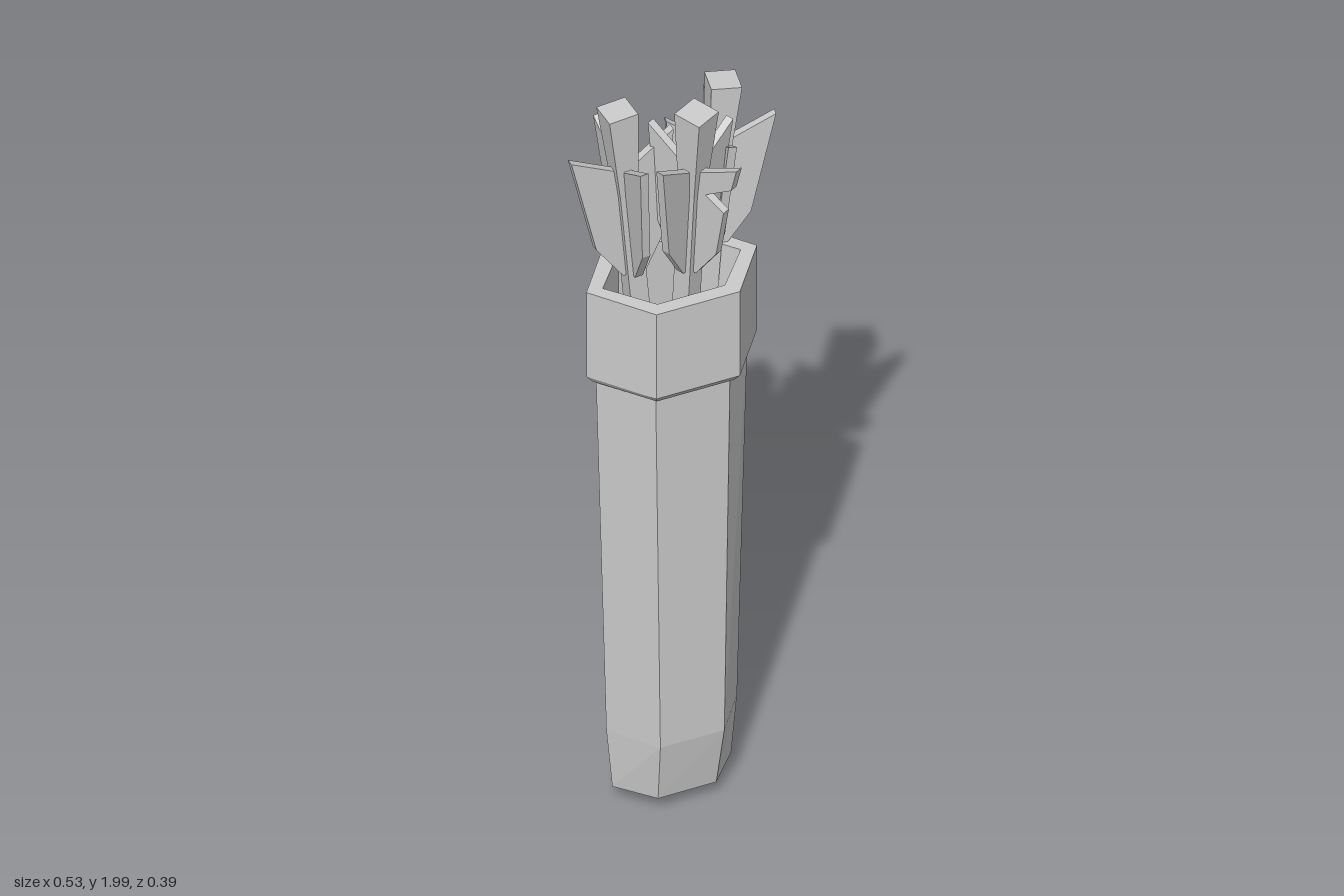
import * as THREE from 'three';

const material = new THREE.MeshStandardMaterial({ color: 0xcccccc, flatShading: true, side: THREE.DoubleSide });

// Uneven hexagon of the quiver mouth, as [x, z] offsets from its centre
const CENTER = [-0.01, -0.014];
const HEX = [[-0.097, -0.151], [0.12, -0.136], [0.217, 0.014], [0.097, 0.151], [-0.115, 0.137], [-0.215, -0.016]];

function addMesh(parent, name, geometry) {
  const mesh = new THREE.Mesh(geometry, material);
  mesh.name = name;
  parent.add(mesh);
  return mesh;
}

// Skins a chain of hexagon rings, each given as [y, scaleX, scaleZ]; scale 0 is a point
function hexLoft(rings) {
  const positions = [];
  const corner = ([y, sx, sz], i) => {
    const [x, z] = HEX[i % 6];
    return [CENTER[0] + x * sx, y, CENTER[1] + z * sz];
  };
  for (let r = 0; r < rings.length - 1; r++) {
    const low = rings[r], high = rings[r + 1];
    for (let i = 0; i < 6; i++) {
      const a = corner(low, i), b = corner(low, i + 1);
      const c = corner(high, i), d = corner(high, i + 1);
      if (low[1] > 0) positions.push(...a, ...c, ...b);
      if (high[1] > 0) positions.push(...b, ...c, ...d);
    }
  }
  const geometry = new THREE.BufferGeometry();
  geometry.setAttribute('position', new THREE.Float32BufferAttribute(positions, 3));
  geometry.computeVertexNormals();
  return geometry;
}

// Square bar with its end at the origin, hanging down; sides are full widths
function taperedBar(topSide, bottomSide, topY, bottomY) {
  const k = Math.SQRT1_2;
  const geometry = new THREE.CylinderGeometry(topSide * k, bottomSide * k, topY - bottomY, 4);
  geometry.rotateY(Math.PI / 4);
  geometry.translate(0, (topY + bottomY) / 2, 0);
  return geometry;
}

// Feather outlines: distance from the shaft axis, height below the arrow's end
const FEATHER = [[0, -0.47], [0.03, -0.47], [0.09, -0.37], [0.13, -0.1], [0.03, -0.16], [0, -0.16]];
const NOTCHED = [[0, -0.47], [0.03, -0.47], [0.085, -0.38], [0.1, -0.245], [0.045, -0.22],
  [0.118, -0.165], [0.13, -0.1], [0.03, -0.16], [0, -0.16]];

function featherGeometry(outline) {
  const shape = new THREE.Shape(outline.map(([x, y]) => new THREE.Vector2(x, y)));
  const geometry = new THREE.ExtrudeGeometry(shape, { depth: 0.02, bevelEnabled: false });
  geometry.translate(0, 0, -0.01);
  return geometry;
}

function createArrow({ name, end, mouth, turn, notched }) {
  const arrow = new THREE.Group();
  arrow.name = name;
  const top = new THREE.Vector3(...end);
  const axis = top.clone().sub(new THREE.Vector3(...mouth)).normalize();
  arrow.position.copy(top);
  arrow.quaternion.setFromUnitVectors(new THREE.Vector3(0, 1, 0), axis);

  const spin = new THREE.Group();
  spin.name = 'arrowParts';
  spin.rotation.y = turn;
  arrow.add(spin);

  addMesh(spin, 'nock', taperedBar(0.073, 0.046, 0, -0.24));
  addMesh(spin, 'shaft', taperedBar(0.046, 0.046, -0.24, -1.7));
  for (let i = 0; i < 4; i++) {
    const outline = notched && i === 3 ? NOTCHED : FEATHER;
    addMesh(spin, 'feather', featherGeometry(outline)).rotation.y = i * Math.PI / 2;
  }
  return arrow;
}

export function createModel() {
  const model = new THREE.Group();
  model.name = 'quiverWithArrows';

  // Tapered pouch closed by a blunt point
  addMesh(model, 'quiverBody', hexLoft([
    [0.005, 0, 0], [0.045, 0.7, 0.6], [0.21, 0.765, 0.78], [1.23, 0.89, 0.81],
  ]));

  // Thick collar, running over the rim and down into the hollow
  addMesh(model, 'collarAndLining', hexLoft([
    [1.225, 0.89, 0.81], [1.225, 0.93, 0.91], [1.243, 1, 1], [1.485, 1, 1],
    [1.485, 0.81, 0.745], [0.22, 0.69, 0.66], [0.2, 0, 0],
  ]));

  // Three arrows leaning outwards
  const arrows = [
    { name: 'frontArrow', end: [0.002, 1.995, 0.084], mouth: [0.004, 1.5, 0.038], turn: 0.4, notched: true },
    { name: 'leftArrow', end: [0.154, 1.938, -0.065], mouth: [0.12, 1.5, -0.066], turn: -0.28 },
    { name: 'rightArrow', end: [-0.136, 1.967, -0.044], mouth: [-0.096, 1.5, -0.04], turn: -0.07 },
  ];
  for (const arrow of arrows) model.add(createArrow(arrow));
  return model;
}
